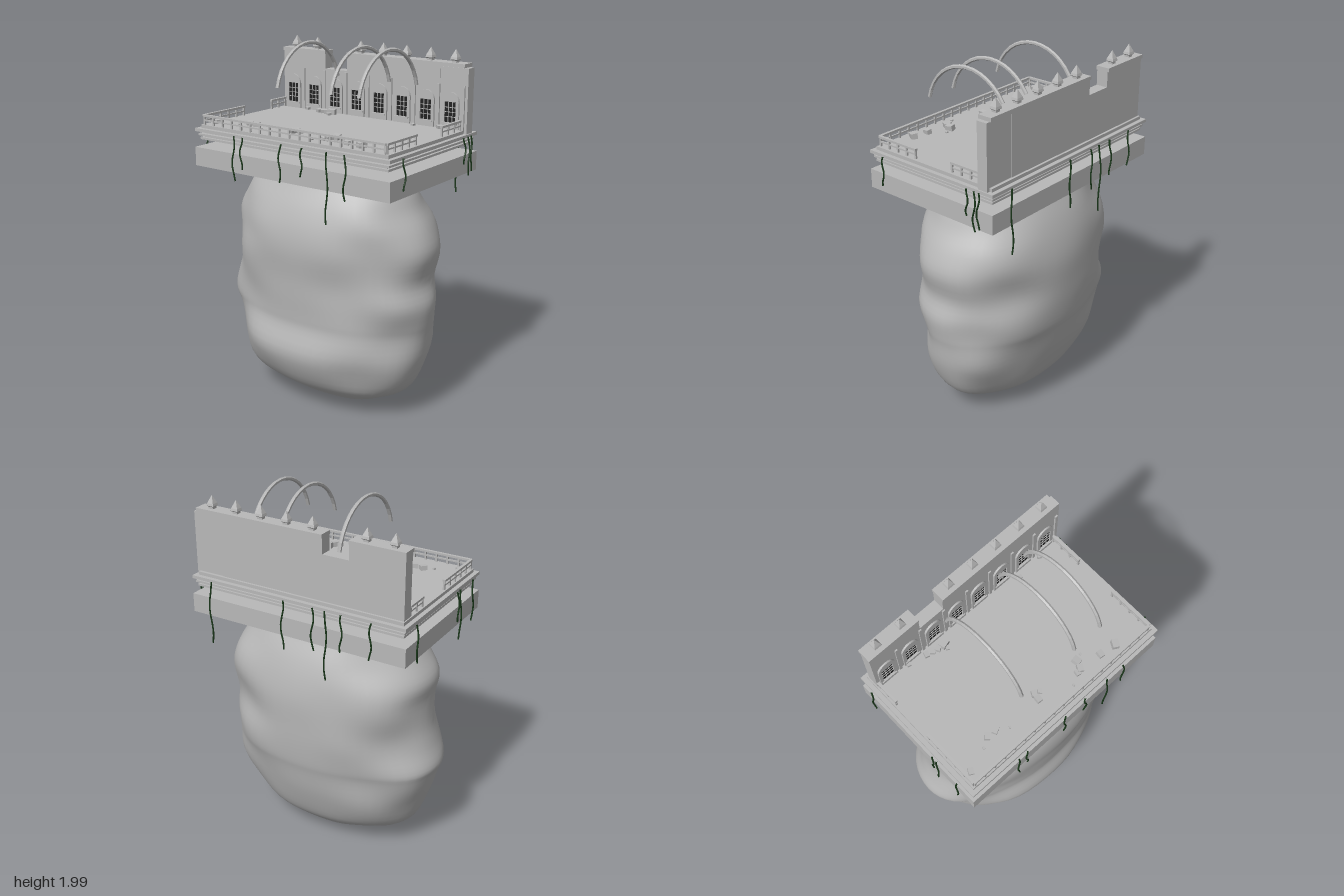
import * as THREE from 'three';

const stone = new THREE.MeshStandardMaterial({ color: 0xb8b8b8 });
stone.name = 'stone';
const vineGreen = new THREE.MeshStandardMaterial({ color: 0x1c3a1c });
vineGreen.name = 'vineGreen';
const windowDark = new THREE.MeshStandardMaterial({ color: 0x222222 });
windowDark.name = 'windowDark';

function add(parent, name, geometry, material = stone, x = 0, y = 0, z = 0) {
  const mesh = new THREE.Mesh(geometry, material);
  mesh.name = name;
  mesh.position.set(x, y, z);
  parent.add(mesh);
  return mesh;
}

// Box given by its extents along each axis
function block(parent, name, x0, x1, y0, y1, z0, z1, material = stone) {
  return add(parent, name, new THREE.BoxGeometry(x1 - x0, y1 - y0, z1 - z0), material,
    (x0 + x1) / 2, (y0 + y1) / 2, (z0 + z1) / 2);
}

function section(root, name) {
  const g = new THREE.Group();
  g.name = name;
  root.add(g);
  return g;
}

function flat(geometry) {
  const g = geometry.toNonIndexed();
  g.computeVertexNormals();
  return g;
}

// Weathered boulder lofted through uneven oval sections
function rockGeometry() {
  // height, right, left, back, front
  const rows = [
    [0.01, -0.005, 0.005, -0.005, 0.005], [0.04, -0.12, 0.13, -0.25, 0.25],
    [0.1, -0.215, 0.21, -0.4, 0.4], [0.18, -0.31, 0.275, -0.515, 0.51],
    [0.35, -0.385, 0.34, -0.585, 0.58], [0.5, -0.355, 0.375, -0.63, 0.6],
    [0.57, -0.355, 0.392, -0.65, 0.612], [0.68, -0.365, 0.405, -0.615, 0.622],
    [0.8, -0.375, 0.412, -0.587, 0.592], [0.95, -0.393, 0.417, -0.582, 0.622],
    [1.07, -0.385, 0.402, -0.595, 0.588], [1.18, -0.352, 0.37, -0.535, 0.525],
    [1.28, -0.3, 0.325, -0.47, 0.48], [1.34, -0.265, 0.295, -0.42, 0.42],
    [1.39, -0.2, 0.22, -0.32, 0.32], [1.4, -0.005, 0.005, -0.005, 0.005],
  ];
  const curve = (xi, zi) => new THREE.CatmullRomCurve3(
    rows.map(r => new THREE.Vector3(r[xi], r[0], r[zi])), false, 'catmullrom', 0.5);
  const low = curve(1, 3), high = curve(2, 4);
  const N = 60, M = 56, pos = [], index = [];
  for (let i = 0; i <= N; i++) {
    const a = low.getPoint(i / N), b = high.getPoint(i / N);
    for (let j = 0; j < M; j++) {
      const t = j / M * Math.PI * 2, c = Math.cos(t), s = Math.sin(t);
      const bump = 1 + Math.sin(2 * t) ** 2 *
        (0.01 + 0.025 * Math.sin(a.y * 11 + t * 3) + 0.015 * Math.sin(a.y * 17 - t * 5));
      pos.push(c * bump * (c < 0 ? -a.x : b.x), a.y, s * bump * (s < 0 ? -a.z : b.z));
      if (i < N) {
        const p = i * M + j, q = i * M + (j + 1) % M;
        index.push(p, p + M, q, q, p + M, q + M);
      }
    }
  }
  const g = new THREE.BufferGeometry();
  g.setAttribute('position', new THREE.Float32BufferAttribute(pos, 3));
  g.setIndex(index);
  g.computeVertexNormals();
  return g;
}

// Straight balustrade from one point to another on the terrace
function balustrade(parent, x0, z0, x1, z1) {
  const g = section(parent, 'balustrade');
  const dx = x1 - x0, dz = z1 - z0, len = Math.hypot(dx, dz);
  g.position.set(x0, 1.553, z0);
  g.rotation.y = Math.atan2(-dz, dx);
  block(g, 'topRail', 0, len, 0.046, 0.057, -0.008, 0.008);
  block(g, 'middleRail', 0, len, 0.022, 0.03, -0.004, 0.004);
  const n = Math.max(2, Math.round(len / 0.065));
  for (let i = 0; i <= n; i++) {
    const x = 0.006 + (len - 0.012) * i / n;
    block(g, 'post', x - 0.005, x + 0.005, 0, 0.048, -0.005, 0.005);
  }
}

// Arched window with a lattice on the terrace side of the wall
function archedWindow(parent, z) {
  const g = section(parent, 'archedWindow');
  g.position.set(0.313, 1.555, z);
  g.rotation.y = -Math.PI / 2;
  const frame = new THREE.Shape();
  frame.moveTo(-0.052, 0).lineTo(0.052, 0).lineTo(0.052, 0.145);
  frame.absarc(0, 0.145, 0.052, 0, Math.PI).lineTo(-0.052, 0);
  const hole = new THREE.Path();
  hole.moveTo(-0.034, 0.035).lineTo(-0.034, 0.145).lineTo(0.034, 0.145).lineTo(0.034, 0.035);
  frame.holes.push(hole);
  add(g, 'windowFrame', new THREE.ExtrudeGeometry(frame, { depth: 0.01, bevelEnabled: false, curveSegments: 8 }));
  block(g, 'windowPane', -0.034, 0.034, 0.035, 0.145, 0, 0.003, windowDark);
  for (const x of [-0.012, 0.012]) block(g, 'latticeBar', x - 0.0015, x + 0.0015, 0.035, 0.145, 0.003, 0.006);
  for (const y of [0.065, 0.09, 0.115]) block(g, 'latticeBar', -0.034, 0.034, y - 0.0015, y + 0.0015, 0.003, 0.006);
  block(g, 'windowSill', -0.045, 0.045, 0.025, 0.035, 0, 0.016);
}

export function createModel() {
  const root = new THREE.Group();
  root.name = 'floatingRuin';
  add(root, 'rock', rockGeometry());

  // Foundation slab and the stepped terrace hovering above it
  block(root, 'foundationSlab', -0.415, 0.415, 1.33, 1.433, -0.635, 0.635);
  const terrace = section(root, 'terrace');
  for (const [y0, y1, inset] of [[1.475, 1.487, 0.02], [1.487, 1.497, 0.035], [1.497, 1.508, 0.012],
    [1.508, 1.52, 0.035], [1.52, 1.537, 0], [1.537, 1.555, 0.024]]) {
    block(terrace, 'course', -0.415 + inset, 0.415 - inset, y0, y1, -0.632 + inset, 0.632 - inset);
  }

  // Broken balustrades
  const rails = section(root, 'balustrades');
  balustrade(rails, -0.382, -0.595, -0.382, 0.59);
  balustrade(rails, -0.382, -0.595, -0.055, -0.595);
  balustrade(rails, 0.175, -0.595, 0.31, -0.595);
  balustrade(rails, -0.382, 0.59, -0.12, 0.59);
  balustrade(rails, 0.115, 0.59, 0.31, 0.59);

  // Facade wall with one collapsed bay
  const wall = section(root, 'facadeWall');
  block(wall, 'cornerWall', 0.316, 0.375, 1.537, 1.88, 0.455, 0.624);
  block(wall, 'longWall', 0.313, 0.378, 1.555, 1.885, -0.15, 0.455);
  block(wall, 'collapsedBay', 0.313, 0.378, 1.555, 1.8, -0.3, -0.15);
  block(wall, 'shortWall', 0.313, 0.378, 1.555, 1.885, -0.602, -0.3);
  block(wall, 'longCoping', 0.307, 0.385, 1.882, 1.902, -0.15, 0.604);
  block(wall, 'shortCoping', 0.307, 0.385, 1.882, 1.902, -0.605, -0.3);
  const finialProfile = [[0, 0], [0.02, 0], [0.02, 0.012], [0.03, 0.018], [0.026, 0.03], [0, 0.072]]
    .map(p => new THREE.Vector2(...p));
  const finial = flat(new THREE.LatheGeometry(finialProfile, 4));
  for (let i = 0; i < 8; i++) {
    const z = -0.53 + 0.151 * i;
    archedWindow(wall, z);
    if (i !== 2) add(wall, 'finial', finial, stone, 0.346, 1.9, z).rotation.y = Math.PI / 4;
    block(wall, 'pilaster', 0.305, 0.314, 1.555, 1.79, z + 0.067, z + 0.083);
  }

  // Surviving roof ribs
  const tilt = 0.22;
  const rib = flat(new THREE.TorusGeometry(0.268, 0.0105, 6, 16, Math.PI - 2 * tilt));
  for (const z of [-0.175, 0.17, 0.343]) {
    const g = section(root, 'roofRib');
    g.position.set(0, 1.72, z);
    g.rotation.z = tilt;
    add(g, 'ribArch', rib);
    for (const a of [0, Math.PI - 2 * tilt]) {
      const cap = add(g, 'ribEnd', new THREE.CircleGeometry(0.0105, 6), stone, 0.268 * Math.cos(a), 0.268 * Math.sin(a));
      cap.rotation.set(a ? -Math.PI / 2 : Math.PI / 2, a ? -a + Math.PI : 0, 0);
    }
  }

  // Fallen masonry: x, z, size, turn
  const rubble = section(root, 'rubble');
  for (const [x, z, s, turn] of [
    [-0.32, -0.56, 0.034, 0.5], [-0.275, -0.435, 0.015, 0.3], [-0.245, -0.385, 0.036, 0.7],
    [-0.25, -0.335, 0.034, 1.1], [-0.285, -0.27, 0.013, 0.3], [-0.275, -0.072, 0.036, 0.1],
    [-0.242, -0.068, 0.034, 0.5], [-0.25, -0.035, 0.028, 0.8], [-0.34, 0.108, 0.014, 0.1],
    [-0.308, 0.165, 0.03, 0.2], [-0.3, 0.19, 0.038, 0.5], [-0.26, 0.205, 0.042, -0.2],
    [-0.245, 0.247, 0.014, 0], [-0.315, 0.318, 0.036, 0.1], [-0.328, 0.408, 0.044, 0.5],
    [0.275, -0.315, 0.03, 0.3], [0.268, -0.28, 0.032, 0.8], [0.262, -0.25, 0.036, 1],
    [0.258, -0.215, 0.046, 1.3], [0.232, -0.215, 0.022, 0.4], [0.298, -0.415, 0.025, 0.2],
    [0.27, 0.322, 0.02, 0.1], [0.29, 0.475, 0.028, 0.6]]) {
    const h = s * 0.7;
    add(rubble, 'fallenBlock', new THREE.BoxGeometry(s, h, s * 0.8), stone, x, 1.553 + h / 2, z)
      .rotation.set(0.12, -turn, 0.1);
  }

  // Vines: x, z, lowest point; they hang just outside the terrace edge
  const vines = section(root, 'vines');
  [[-0.42, -0.345, 1.29], [-0.42, -0.29, 1.36], [-0.42, -0.03, 1.33], [-0.42, 0.11, 1.38],
    [-0.42, 0.27, 1.16], [-0.42, 0.38, 1.3], [0.42, -0.45, 1.33], [0.42, -0.285, 1.33],
    [0.42, -0.195, 1.15], [0.42, -0.12, 1.3], [0.42, 0.06, 1.26], [0.42, 0.51, 1.18],
    [-0.31, -0.638, 1.3], [-0.165, -0.638, 1.25], [-0.135, -0.638, 1.36], [0.32, -0.638, 1.32],
    [-0.31, 0.638, 1.37], [0.265, 0.638, 1.39], [0.31, 0.638, 1.32], [0.335, 0.638, 1.34],
  ].forEach(([x, z, end], i) => {
    const side = Math.abs(x) > 0.4, out = Math.sign(side ? x : z), points = [];
    for (let k = 0; k <= 6; k++) {
      const f = k / 6, sway = 0.008 * Math.sin(k * 1.3 + i), push = out * (0.003 + 0.009 * Math.sin(f * 2.4));
      points.push(new THREE.Vector3(x + (side ? push : sway), 1.53 + (end - 1.53) * f, z + (side ? sway : push)));
    }
    add(vines, 'vine', new THREE.TubeGeometry(new THREE.CatmullRomCurve3(points), 16, 0.0045, 5), vineGreen);
  });

  return root;
}
